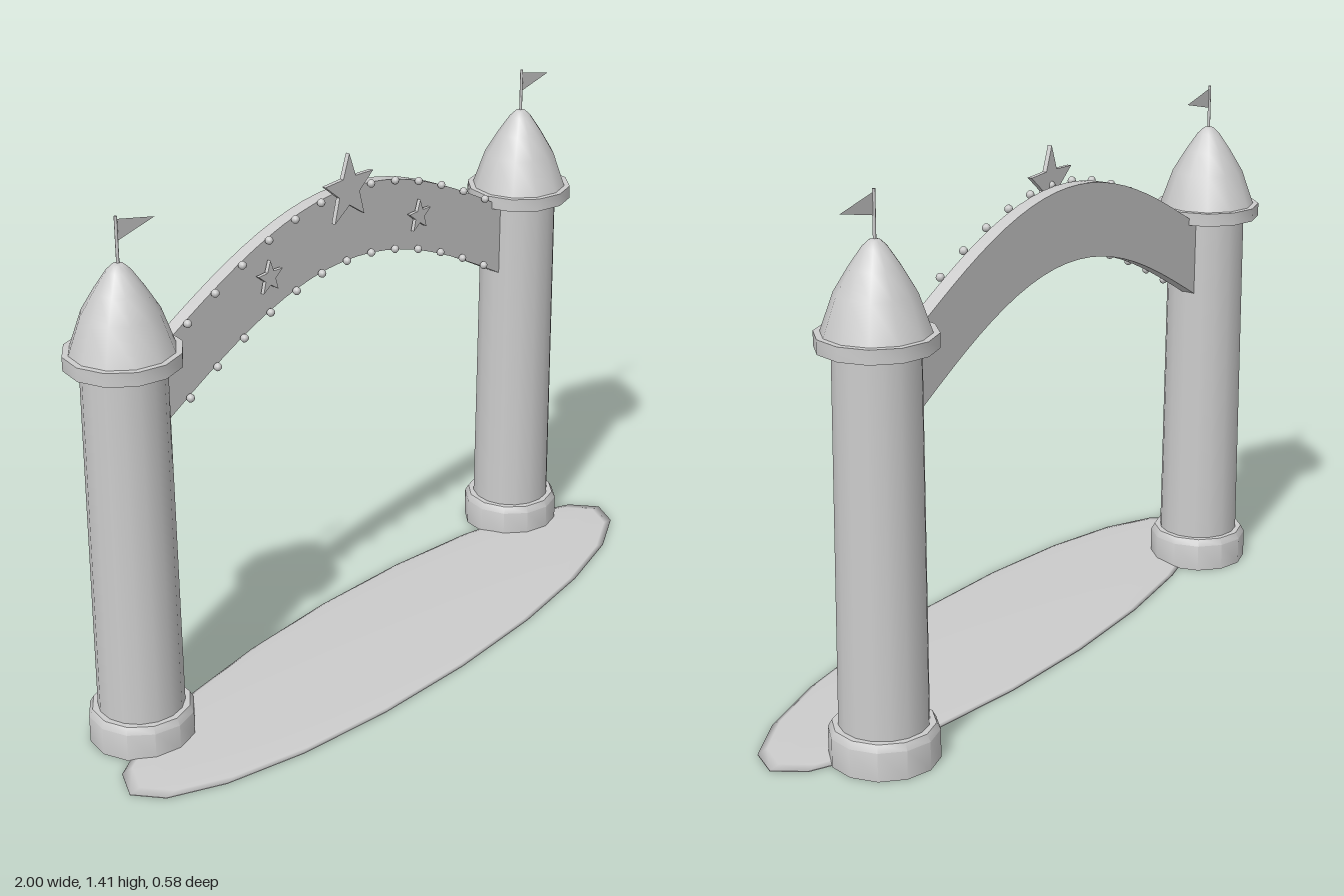
import * as THREE from 'three';
import { toCreasedNormals } from 'three/addons/utils/BufferGeometryUtils.js';

const stone = new THREE.MeshStandardMaterial({ color: 0xcccccc, side: THREE.DoubleSide });
stone.name = 'light grey';

const TOWER_X = 0.78, TOWER_Z = -0.145, HALF_SPAN = 0.68;

function add(parent, name, geometry, x = 0, y = 0, z = 0) {
  const mesh = new THREE.Mesh(geometry, stone);
  mesh.name = name;
  mesh.position.set(x, y, z);
  parent.add(mesh);
  return mesh;
}

// Turned part from [radius, height] pairs, bottom to top
function turned(points, sides) {
  const profile = points.map(([r, y]) => new THREE.Vector2(r, y));
  return toCreasedNormals(new THREE.LatheGeometry(profile, sides), 0.65);
}

function starGeometry(radius, depth) {
  const shape = new THREE.Shape();
  for (let i = 0; i < 10; i++) {
    const r = i % 2 ? radius * 0.42 : radius;
    const a = Math.PI / 2 + (i * Math.PI) / 5;
    if (i) shape.lineTo(r * Math.cos(a), r * Math.sin(a));
    else shape.moveTo(r * Math.cos(a), r * Math.sin(a));
  }
  shape.closePath();
  return new THREE.ExtrudeGeometry(shape, { depth, bevelEnabled: false });
}

// Upper and lower edges of the arch
const wave = (x) => Math.cos((Math.PI * x) / 1.34);
const upper = (x) => 1.043 + 0.225 * wave(x);
const lower = (x) => 0.838 + 0.232 * wave(x);

function createTower(name, x) {
  const tower = new THREE.Group();
  tower.name = name;
  tower.position.set(x, 0, TOWER_Z);
  add(tower, 'base', turned([[0, 0], [0.138, 0], [0.138, 0.075], [0.128, 0.093], [0, 0.093]], 12));
  add(tower, 'shaft', new THREE.CylinderGeometry(0.106, 0.112, 0.96, 16), 0, 0.57, 0);
  add(tower, 'collar', turned([[0, 1.04], [0.147, 1.04], [0.147, 1.076], [0, 1.076]], 12));
  add(tower, 'roof', turned([[0.132, 1.074], [0.098, 1.17], [0.062, 1.23], [0.03, 1.277], [0.014, 1.292], [0, 1.296]], 12));
  add(tower, 'flagPole', new THREE.CylinderGeometry(0.004, 0.004, 0.13, 8), 0, 1.345, 0);
  // Pennant
  const flag = new THREE.Shape([
    new THREE.Vector2(0, 1.348), new THREE.Vector2(0.125, 1.375), new THREE.Vector2(0, 1.403),
  ]);
  add(tower, 'flag', new THREE.ShapeGeometry(flag));
  return tower;
}

export function createModel() {
  const model = new THREE.Group();
  model.name = 'entranceArch';

  // Shallow domed ground patch with a flat underside
  const dome = new THREE.SphereGeometry(1, 20, 6, 0, Math.PI * 2, 0, Math.PI / 2);
  dome.scale(1, 0.013, 0.255);
  add(model, 'groundPatch', dome, 0, 0.002, 0.035);
  const under = new THREE.CircleGeometry(1, 20);
  under.rotateX(Math.PI / 2);
  under.scale(1, 1, 0.255);
  add(model, 'groundUnderside', under, 0, 0, 0.035);

  model.add(createTower('leftTower', TOWER_X), createTower('rightTower', -TOWER_X));

  // Curved banner between the towers
  const outline = [];
  const steps = 24;
  for (let i = 0; i <= steps; i++) {
    const x = -HALF_SPAN + (2 * HALF_SPAN * i) / steps;
    outline.push(new THREE.Vector2(x, lower(x)));
  }
  for (let i = steps; i >= 0; i--) {
    const x = -HALF_SPAN + (2 * HALF_SPAN * i) / steps;
    outline.push(new THREE.Vector2(x, upper(x)));
  }
  const arch = new THREE.ExtrudeGeometry(new THREE.Shape(outline), { depth: 0.038, bevelEnabled: false });
  add(model, 'arch', toCreasedNormals(arch, 0.5), 0, 0, -0.168);

  // Bulbs along both edges
  const bulb = new THREE.SphereGeometry(0.011, 8, 6);
  const bulbs = new THREE.Group();
  bulbs.name = 'bulbs';
  for (let i = -6; i <= 6; i++) {
    const x = i * 0.098;
    add(bulbs, 'upperBulb', bulb, x, upper(x), -0.118);
    add(bulbs, 'lowerBulb', bulb, x, lower(x) + 0.005, -0.118);
  }
  model.add(bulbs);

  // Stars
  add(model, 'topStar', starGeometry(0.098, 0.012), 0, 1.273, -0.119);
  for (const side of [1, -1]) {
    add(model, 'smallStar', starGeometry(0.046, 0.01), side * 0.296, 1.118, -0.123);
  }
  return model;
}
